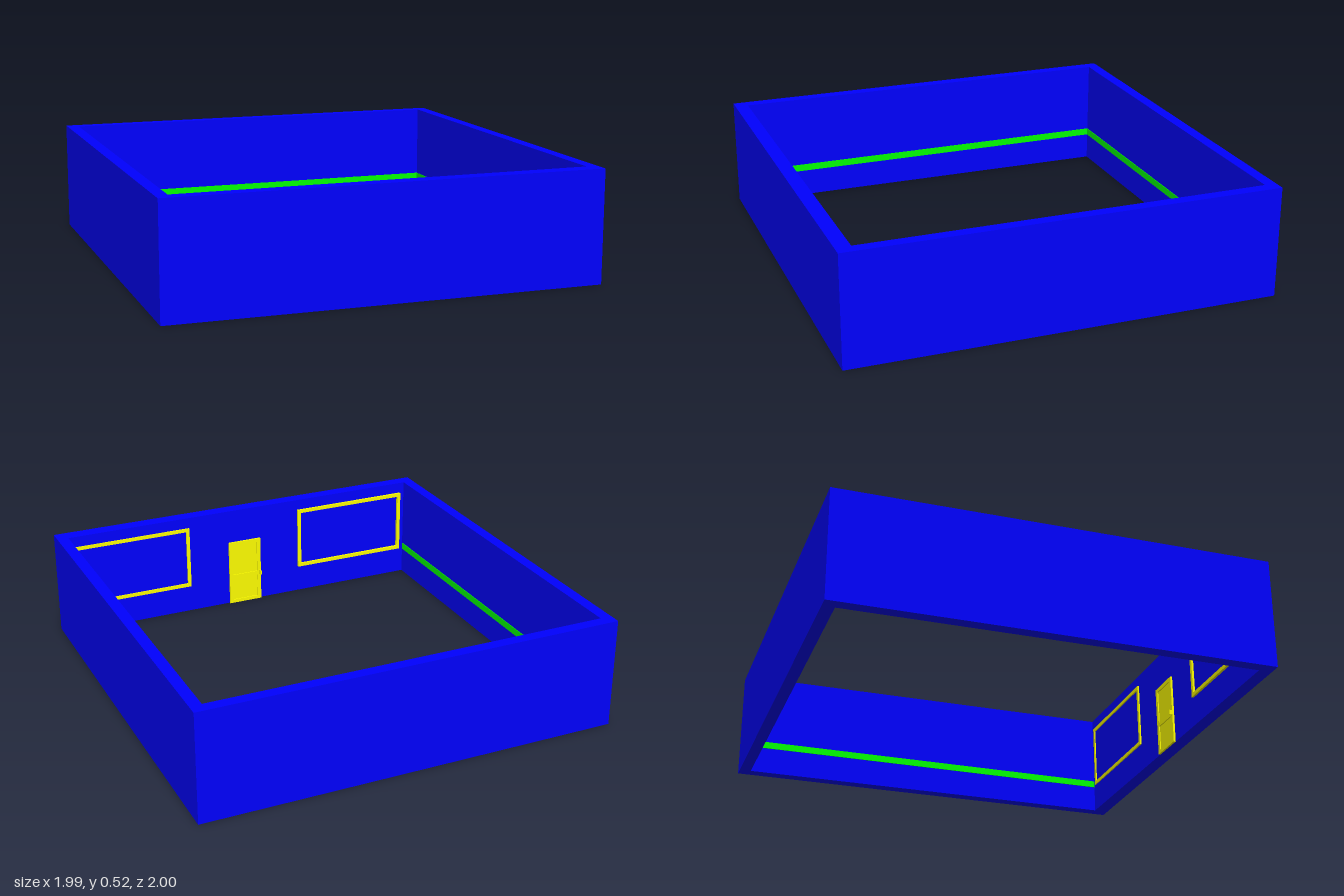
import * as THREE from 'three';

const material = (color) => new THREE.MeshStandardMaterial({ color, flatShading: true });
const blue = material(0x0000ff);
const green = material(0x00ff00);
const yellow = material(0xffff00);

// Box given by its lower and upper corners
function box(name, mat, [x0, y0, z0], [x1, y1, z1]) {
  const mesh = new THREE.Mesh(new THREE.BoxGeometry(x1 - x0, y1 - y0, z1 - z0), mat);
  mesh.position.set((x0 + x1) / 2, (y0 + y1) / 2, (z0 + z1) / 2);
  mesh.name = name;
  return mesh;
}

// Rectangular outline with open panels, extruded from z0 to z1
function frame(name, [x0, y0, x1, y1], holes, z0, z1) {
  const rect = (C, [a, b, c, d]) =>
    new C([[a, b], [c, b], [c, d], [a, d]].map(([x, y]) => new THREE.Vector2(x, y)));
  const shape = rect(THREE.Shape, [x0, y0, x1, y1]);
  shape.holes = holes.map((h) => rect(THREE.Path, h));
  const geometry = new THREE.ExtrudeGeometry(shape, { depth: z1 - z0, bevelEnabled: false });
  geometry.translate(0, 0, z0);
  const mesh = new THREE.Mesh(geometry, yellow);
  mesh.name = name;
  return mesh;
}

export function createModel() {
  const model = new THREE.Group();
  model.name = 'room';

  // Four walls, open above and below; the front wall's inner face is slightly skewed
  const points = (list) => list.map(([x, z]) => new THREE.Vector2(x, -z));
  const plan = new THREE.Shape(points([[-0.995, 1], [0.995, 1], [0.995, -1], [-0.995, -1]]));
  plan.holes.push(new THREE.Path(points([[-0.94, 0.938], [0.94, 0.93], [0.94, -0.945], [-0.94, -0.945]])));
  const wallGeometry = new THREE.ExtrudeGeometry(plan, { depth: 0.52, bevelEnabled: false });
  wallGeometry.rotateX(-Math.PI / 2);
  const walls = new THREE.Mesh(wallGeometry, blue);
  walls.name = 'walls';
  model.add(walls);

  // Green rails along the side and back walls
  const low = 0.132, high = 0.166, t = 0.003;
  model.add(
    box('backRail', green, [-0.94, low, -0.945], [0.94, high, -0.945 + t]),
    box('rightRail', green, [-0.94, low, -0.945], [-0.94 + t, high, 0.93]),
    box('leftRail', green, [0.94 - t, low, -0.945], [0.94, high, 0.93]),
  );

  // Window frames on the inside of the front wall
  const bar = 0.018;
  for (const [name, x0, x1] of [['rightWindow', -0.915, -0.305], ['leftWindow', 0.305, 0.92]]) {
    model.add(frame(name, [x0, 0.14, x1, 0.465],
      [[x0 + bar, 0.14 + bar, x1 - bar, 0.465 - bar]], 0.925, 0.938));
  }

  // Door with two recessed panels and a handle
  const door = new THREE.Group();
  door.name = 'door';
  door.add(
    frame('doorFrame', [-0.087, 0, 0.09, 0.345],
      [[-0.067, 0.018, 0.07, 0.14], [-0.067, 0.16, 0.07, 0.325]], 0.924, 0.938),
    box('doorPanel', yellow, [-0.08, 0.005, 0.929], [0.083, 0.335, 0.937]),
    box('doorHandle', yellow, [-0.086, 0.14, 0.91], [-0.078, 0.165, 0.925]),
  );
  model.add(door);
  return model;
}
